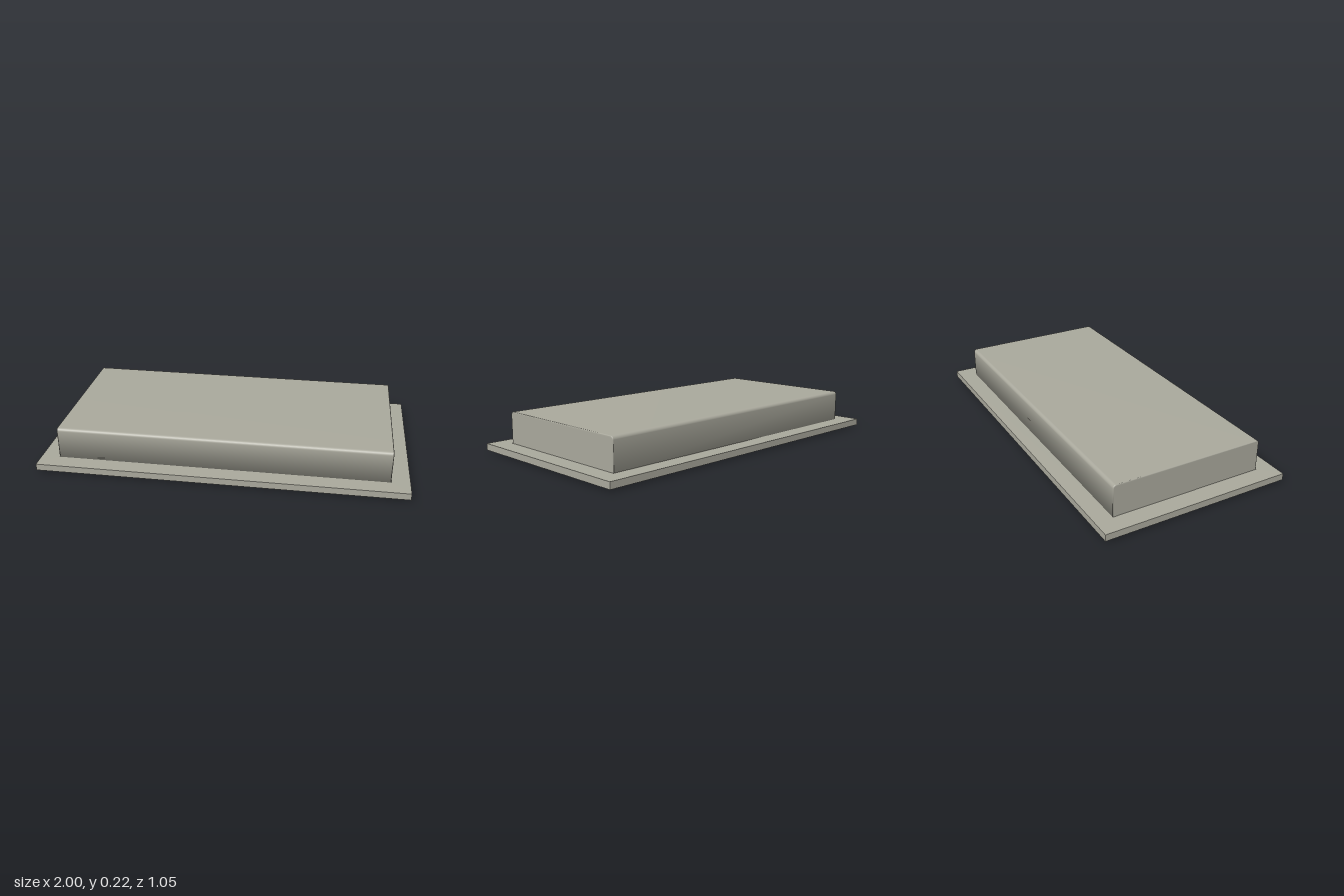
import * as THREE from 'three';
import { mergeVertices } from 'three/addons/utils/BufferGeometryUtils.js';

const HX = 0.9, HZ = 0.427; // half size of the housing and of the opening below it

const metal = new THREE.MeshStandardMaterial({ color: 0xa9a89c });
metal.name = 'warm grey metal';

function add(group, name, geometry, x = 0, y = 0, z = 0) {
  const mesh = new THREE.Mesh(geometry, metal);
  mesh.name = name;
  mesh.position.set(x, y, z);
  group.add(mesh);
}

// Housing: profile with rounded top corners, run along x, ends slightly eased
function housingGeometry(y0, y1, r, bevel) {
  const s = new THREE.Shape();
  s.moveTo(-HZ, y0);
  s.lineTo(HZ, y0);
  s.lineTo(HZ, y1 - r);
  s.absarc(HZ - r, y1 - r, r, 0, Math.PI / 2);
  s.lineTo(-HZ + r, y1);
  s.absarc(-HZ + r, y1 - r, r, Math.PI / 2, Math.PI);
  s.lineTo(-HZ, y0);
  const depth = 2 * (HX - bevel);
  let g = new THREE.ExtrudeGeometry(s, {
    depth, curveSegments: 6, bevelEnabled: true, bevelSize: bevel,
    bevelThickness: bevel, bevelOffset: -bevel, bevelSegments: 3,
  });
  g.translate(0, 0, -depth / 2);
  g.rotateY(Math.PI / 2);
  g.deleteAttribute('uv');
  g.deleteAttribute('normal');
  g = mergeVertices(g, 1e-4);
  g.computeVertexNormals(); // soft shading over the pressed shell
  return g;
}

// Flange: flat rectangular frame with the opening cut out
function flangeGeometry(hx, hz, height) {
  const rect = (Type, a, b) => new Type([[-a, -b], [a, -b], [a, b], [-a, b]]
    .map(([x, y]) => new THREE.Vector2(x, y)));
  const s = rect(THREE.Shape, hx, hz);
  s.holes.push(rect(THREE.Path, HX, HZ));
  const g = new THREE.ExtrudeGeometry(s, { depth: height, bevelEnabled: false });
  g.rotateX(-Math.PI / 2);
  return g;
}

export function createModel() {
  const group = new THREE.Group();
  group.name = 'recessedFixture';
  add(group, 'housing', housingGeometry(0.038, 0.222, 0.018, 0.005));
  add(group, 'flange', flangeGeometry(1, 0.523, 0.037), 0, 0.01, 0);
  // recessed underside panel and the bar dividing it
  add(group, 'recessedPanel', new THREE.BoxGeometry(2 * HX, 0.006, 2 * HZ), 0, 0.039, 0);
  add(group, 'centreBar', new THREE.BoxGeometry(2 * HX, 0.038, 0.036), 0, 0.019, 0);
  return group;
}
